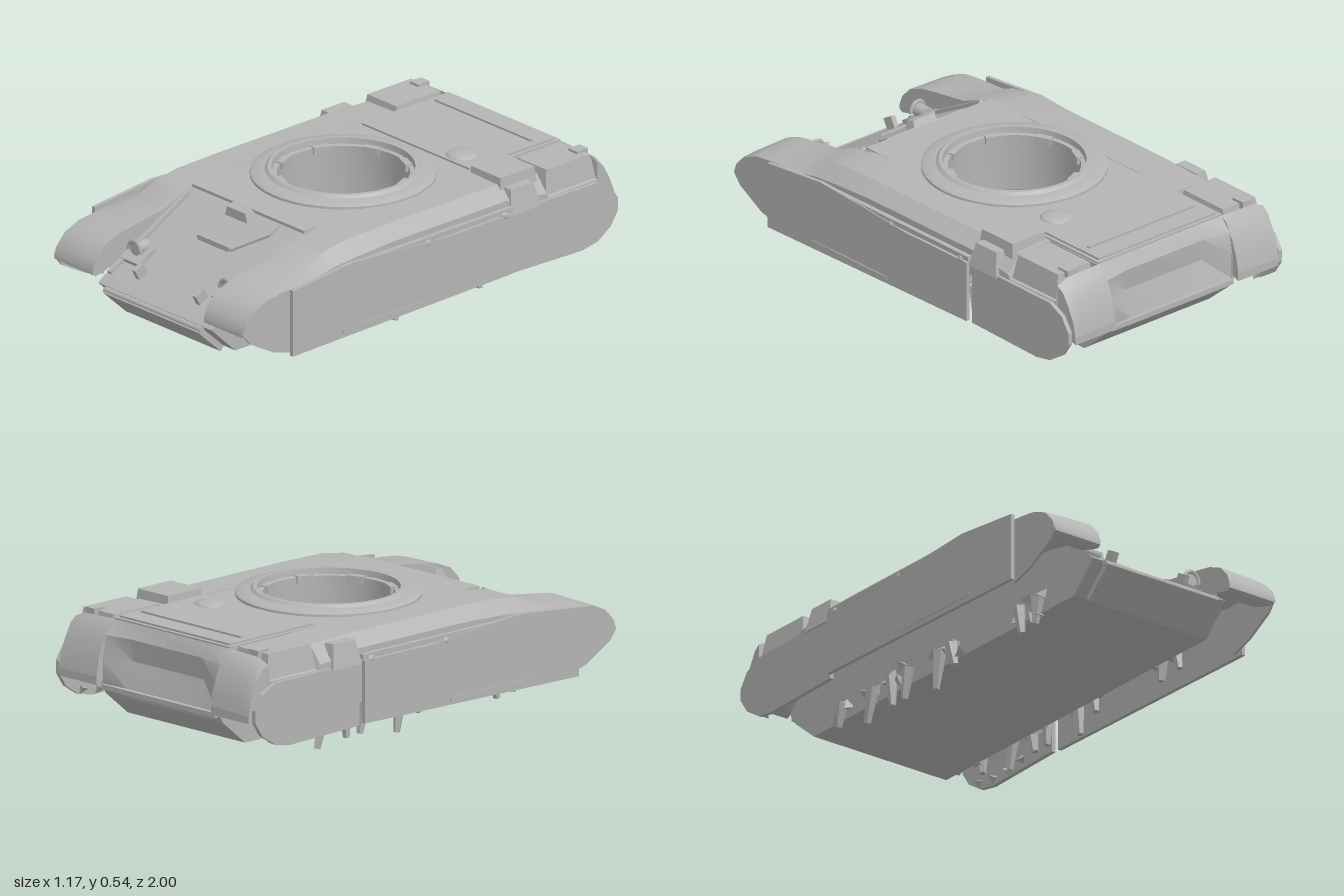
import * as THREE from 'three';
import { toCreasedNormals } from 'three/addons/utils/BufferGeometryUtils.js';

const RING_Z = -0.04;

export function createModel() {
  const root = new THREE.Group();
  root.name = 'armouredHull';
  const grey = new THREE.MeshStandardMaterial({ color: 0xb4b4b4, side: THREE.DoubleSide });
  grey.name = 'plain grey';

  const add = (name, geo, x = 0, y = 0, z = 0) => {
    const m = new THREE.Mesh(geo, grey);
    m.name = name;
    m.position.set(x, y, z);
    root.add(m);
    return m;
  };
  const box = (name, w, h, d, x, y, z, rx = 0) => {
    const m = add(name, new THREE.BoxGeometry(w, h, d), x, y, z);
    m.rotation.x = rx;
    return m;
  };
  // Surface through rows of points, with end caps when closed
  const loft = (rows, closed, crease = 0.6) => {
    const v = [];
    const tri = (...p) => p.forEach(q => v.push(...q));
    const n = rows[0].length;
    for (let i = 0; i < rows.length - 1; i++) {
      for (let j = 0; j < (closed ? n : n - 1); j++) {
        const k = (j + 1) % n, a = rows[i], b = rows[i + 1];
        tri(a[j], b[j], b[k], a[j], b[k], a[k]);
      }
    }
    if (closed) for (const r of [rows[0], rows[rows.length - 1]])
      for (let j = 1; j < n - 1; j++) tri(r[0], r[j], r[j + 1]);
    const g = new THREE.BufferGeometry();
    g.setAttribute('position', new THREE.Float32BufferAttribute(v, 3));
    g.computeVertexNormals();
    return toCreasedNormals(g, crease);
  };
  // Upright plate drawn in (z, y) and centred on a given x
  const sidePlate = (name, pts, x, t) => {
    const shape = new THREE.Shape(pts.map(p => new THREE.Vector2(p[0], p[1])));
    const g = new THREE.ExtrudeGeometry(shape, { depth: t, bevelEnabled: false });
    g.rotateY(-Math.PI / 2);
    return add(name, g, x + t / 2, 0, 0);
  };
  // Block tapered toward its top
  const tapered = (name, w, h, d, x, y, z, inset) => {
    const g = new THREE.BoxGeometry(w, h, d).toNonIndexed();
    const p = g.attributes.position;
    for (let i = 0; i < p.count; i++) if (p.getY(i) > 0) {
      p.setX(i, p.getX(i) - Math.sign(p.getX(i)) * inset);
      p.setZ(i, p.getZ(i) - Math.sign(p.getZ(i)) * inset);
    }
    g.computeVertexNormals();
    return add(name, g, x, y, z);
  };

  // Lower hull: glacis, nose, belly and dished rear plate (z, y, dish depth)
  const tub = [[0.46, 0.505, 0], [0.93, 0.255, 0], [0.965, 0.23, 0], [0.84, 0.11, 0], [-0.82, 0.11, 0],
    [-0.94, 0.21, 0], [-0.965, 0.25, 0.01], [-0.965, 0.36, 0.045], [-0.95, 0.45, 0.02], [-0.9, 0.505, 0]];
  add('hullShell', loft(tub.map(([z, y, dish]) =>
    [-0.325, -0.2, 0.2, 0.325].map(x => [x, y, Math.abs(x) < 0.3 ? z + dish : z])), false, 0.4));
  for (const s of [1, -1]) sidePlate('hullSide', tub, s * 0.325, 0.01);

  // Deck with the round opening
  const deck = new THREE.Shape();
  deck.moveTo(-0.325, -0.47).lineTo(0.325, -0.47).lineTo(0.325, 0.9).lineTo(-0.325, 0.9).closePath();
  const hole = new THREE.Path();
  hole.absarc(0, -RING_Z, 0.27, 0, Math.PI * 2, true);
  deck.holes.push(hole);
  const deckGeo = new THREE.ExtrudeGeometry(deck, { depth: 0.02, bevelEnabled: false, curveSegments: 32 });
  deckGeo.rotateX(-Math.PI / 2);
  add('deck', deckGeo, 0, 0.492, 0);

  // Stepped ring with its inner wall and teeth
  const ring = [[0.37, 0.495], [0.368, 0.522], [0.355, 0.53], [0.31, 0.534], [0.298, 0.545], [0.283, 0.545],
    [0.28, 0.52], [0.262, 0.518], [0.262, 0.28]].map(p => new THREE.Vector2(...p));
  add('turretRing', toCreasedNormals(new THREE.LatheGeometry(ring, 48), 0.5), 0, 0, RING_Z);
  for (let i = 0; i < 8; i++) {
    const a = i * Math.PI / 4 + 0.4;
    const m = box('ringTooth', 0.07, 0.03, 0.03, Math.cos(a) * 0.262, 0.51, RING_Z + Math.sin(a) * 0.262);
    m.rotation.y = Math.PI / 2 - a;
  }

  // Engine deck
  box('engineDeckPlate', 0.62, 0.012, 0.46, 0, 0.514, -0.655);
  box('engineDeckRidge', 0.56, 0.012, 0.012, 0, 0.522, -0.79);
  add('ventCap', new THREE.SphereGeometry(0.065, 20, 8, 0, Math.PI * 2, 0, Math.PI / 2).scale(1, 0.3, 1), 0.19, 0.518, -0.5);
  box('rearLip', 0.64, 0.02, 0.02, 0, 0.245, -0.965);

  // Glacis fittings, laid on the slope
  const slope = Math.atan2(0.25, 0.47);
  const onGlacis = z => 0.505 - (z - 0.46) * 0.25 / 0.47;
  const bar = (name, x1, z1, x2, z2, h, w) => {
    const a = new THREE.Vector3(x1, onGlacis(z1), z1), b = new THREE.Vector3(x2, onGlacis(z2), z2);
    const m = box(name, w, h, a.distanceTo(b), 0, 0, 0);
    m.position.copy(a).add(b).multiplyScalar(0.5);
    m.lookAt(b);
  };
  const panel = new THREE.Shape([[-0.2, 0.09], [0.2, 0.09], [0.2, 0.03], [0.1, -0.1], [-0.1, -0.1], [-0.2, 0.03]]
    .map(p => new THREE.Vector2(...p)));
  const hatch = add('driverPanel', new THREE.ExtrudeGeometry(panel, { depth: 0.012, bevelEnabled: false }),
    0, onGlacis(0.56), 0.56);
  hatch.rotation.x = -Math.PI / 2 + slope;
  bar('splashGuard', -0.09, 0.65, 0.09, 0.65, 0.035, 0.012);
  tapered('periscope', 0.13, 0.04, 0.06, 0, 0.505, 0.51, 0.012).rotation.x = slope * 0.6;

  // Nose
  box('lowerNosePlate', 0.55, 0.165, 0.025, 0, 0.163, 0.92, 0.82);
  const noseBar = new THREE.CylinderGeometry(0.013, 0.013, 0.56, 10);
  noseBar.rotateZ(Math.PI / 2);
  add('noseBar', noseBar, 0, 0.218, 0.972);

  // Fender stations: z, top, shoulder, underside, outer x
  const stations = [[1.0, 0.295, 0.29, 0.275, 0.545], [0.985, 0.335, 0.325, 0.265, 0.545],
    [0.94, 0.382, 0.372, 0.275, 0.548], [0.87, 0.41, 0.40, 0.3, 0.55], [0.79, 0.424, 0.41, 0.35, 0.55],
    [0.62, 0.448, 0.42, 0.37, 0.55], [0.52, 0.49, 0.44, 0.38, 0.55], [0.4, 0.51, 0.45, 0.38, 0.55],
    [0.2, 0.514, 0.46, 0.38, 0.55], [-0.4, 0.514, 0.46, 0.38, 0.55], [-0.62, 0.505, 0.43, 0.38, 0.55],
    [-0.63, 0.43, 0.41, 0.37, 0.548], [-0.895, 0.43, 0.41, 0.35, 0.545], [-0.9, 0.505, 0.48, 0.35, 0.54],
    [-0.93, 0.485, 0.46, 0.3, 0.538], [-0.965, 0.42, 0.4, 0.27, 0.536], [-0.99, 0.35, 0.34, 0.26, 0.535],
    [-1.0, 0.29, 0.285, 0.255, 0.535]];
  const nose = [[0.74, 0.41], [0.86, 0.4], [0.94, 0.372], [0.985, 0.325], [1, 0.285], [0.965, 0.24], [0.84, 0.17],
    [0.74, 0.14]];
  const skirt = [[0.765, 0.14], [0.765, 0.42], [0.45, 0.45], [0.2, 0.435], [-0.05, 0.415], [-0.41, 0.415],
    [-0.41, 0.16]];
  const rearSkirt = [[-0.42, 0.15], [-0.42, 0.41], [-0.88, 0.405], [-0.95, 0.37], [-0.99, 0.31], [-0.99, 0.26],
    [-0.95, 0.2], [-0.88, 0.155], [-0.8, 0.14]];

  let seed = 7;
  const rnd = () => (seed = (seed * 16807) % 2147483647) / 2147483647;

  for (const s of [1, -1]) {
    add('fender', loft(stations.map(([z, t, h, b, o]) => [[0.322, b, z], [0.322, t, z], [0.49, t - 0.004, z],
      [o, h, z], [o, b, z]].map(([x, y, q]) => [s * x, y, q])), true));
    sidePlate('noseSide', nose, s * 0.545, 0.01);
    sidePlate('sideSkirt', skirt, s * 0.575, 0.016);
    sidePlate('rearSkirt', rearSkirt, s * 0.553, 0.018);
    box('skirtRail', 0.01, 0.014, 0.44, s * 0.582, 0.175, 0.28);
    box('skirtTopRail', 0.02, 0.02, 0.79, s * 0.568, 0.43, -0.02);
    for (const z of [0.04, -0.37])
      add('skirtBolt', new THREE.SphereGeometry(0.02, 10, 8), s * 0.567, 0.415, z);

    // Rear stowage details
    tapered('rearStowageBox', 0.2, 0.1, 0.265, s * 0.435, 0.465, -0.762, 0.016);
    box('rearLamp', 0.05, 0.03, 0.06, s * 0.46, 0.51, -0.87);
    tapered('fenderSideBox', 0.085, 0.1, 0.16, s * 0.527, 0.45, -0.49, 0.02);

    // Headlamp with guard and tow hook
    const lamp = new THREE.CylinderGeometry(0.028, 0.028, 0.06, 14);
    lamp.rotateX(Math.PI / 2);
    add('headlamp', lamp, s * 0.265, 0.355, 0.8);
    const guard = add('lampGuard', new THREE.TorusGeometry(0.036, 0.008, 6, 14, Math.PI), s * 0.265, 0.345, 0.83);
    guard.scale.y = 1.2;
    box('lampBracket', 0.11, 0.025, 0.1, s * 0.265, 0.325, 0.81, slope);
    box('towHook', 0.022, 0.07, 0.05, s * 0.175, 0.295, 0.88, slope);
    bar('glacisEdge', s * 0.31, 0.5, s * 0.31, 0.92, 0.03, 0.02);

    // Broken suspension mounts along the hull side
    for (const [z, low] of [[0.63, 0.06], [0.53, 0.05], [0.1, 0.07], [0.0, 0.01], [-0.2, 0.04], [-0.29, 0.04],
      [-0.43, 0.02], [-0.62, 0.07]]) {
      const h = 0.17 - low;
      const stub = add('suspensionStub', new THREE.CylinderGeometry(0.028, 0.014, h, 5).toNonIndexed(),
        s * 0.352, 0.17 - h / 2, z);
      stub.geometry.computeVertexNormals();
      stub.rotation.set((rnd() - 0.5) * 0.5, rnd() * 3, 0);
      for (let i = 0; i < 3; i++)
        add('mountShard', new THREE.TetrahedronGeometry(0.03), s * 0.345, 0.1 + rnd() * 0.1, z + (i - 1) * 0.035)
          .rotation.set(rnd() * 3, rnd() * 3, 0);
    }
    // Torn lower edge of the rear skirt
    for (let i = 0; i < 4; i++)
      add('skirtShard', new THREE.TetrahedronGeometry(0.025), s * 0.535, 0.16 + rnd() * 0.02, -0.6 - i * 0.09)
        .rotation.set(rnd() * 3, rnd() * 3, 0);
  }

  // Single stowage box beside the engine deck
  tapered('engineSideBox', 0.19, 0.1, 0.2, 0.42, 0.49, -0.505, 0.01);
  return root;
}
